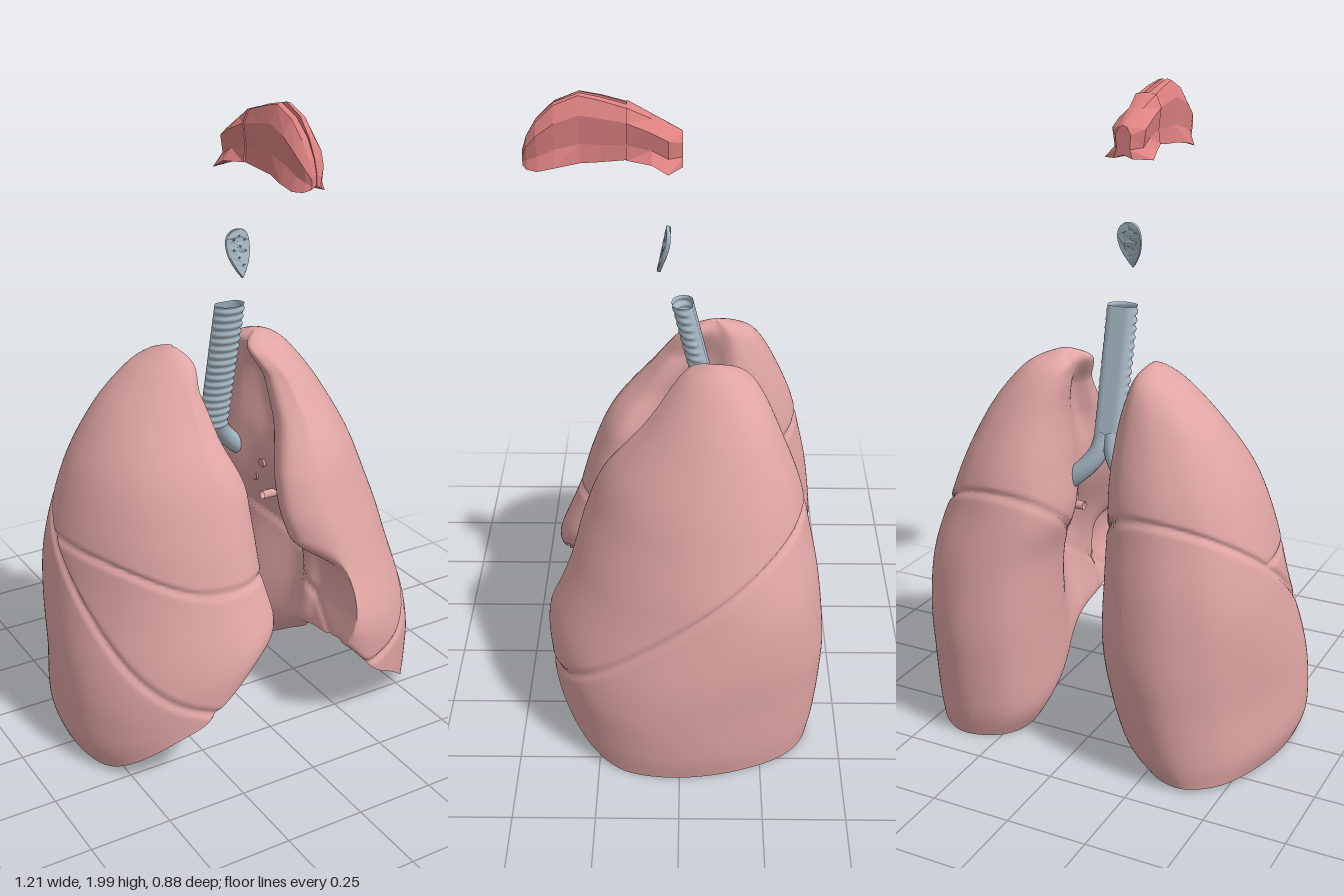
import * as THREE from 'three';

const mat = (name, color) => {
  const m = new THREE.MeshStandardMaterial({ color, side: THREE.DoubleSide });
  m.name = name;
  return m;
};
const V = (x, y, z) => new THREE.Vector3(x, y, z);
const { smoothstep, lerp } = THREE.MathUtils;

// Skin a list of closed rings, listed from bottom to top
function loft(rings, flip = false) {
  const n = rings[0].length, pos = [], idx = [];
  rings.forEach(r => r.forEach(p => pos.push(p.x, p.y, p.z)));
  for (let i = 0; i < rings.length - 1; i++) for (let j = 0; j < n; j++) {
    const a = i * n + j, b = i * n + (j + 1) % n, c = a + n, d = b + n;
    if (flip) idx.push(a, b, c, b, d, c);
    else idx.push(a, c, b, b, c, d);
  }
  const g = new THREE.BufferGeometry();
  g.setAttribute('position', new THREE.Float32BufferAttribute(pos, 3));
  g.setIndex(idx);
  g.computeVertexNormals();
  return g;
}

// Smooth interpolation between rows of a key table
function sampleRow(keys, s) {
  const i = Math.min(Math.floor(s), keys.length - 2), t = s - i;
  const k = j => keys[Math.max(0, Math.min(keys.length - 1, j))];
  return keys[i].map((_, c) => {
    const [a, b, d, e] = [k(i - 1)[c], k(i)[c], k(i + 1)[c], k(i + 2)[c]];
    return b + 0.5 * t * (d - a + t * (2 * a - 5 * b + 4 * d - e + t * (3 * (b - d) + e - a)));
  });
}

// Plan outline: u runs medial to lateral, v runs back to front
const makeOutline = back => new THREE.CatmullRomCurve3([
  [0.1 + back * 0.4, -0.7], [0.27, -0.92], [0.52, -1], [0.75, -0.85], [0.93, -0.45], [1, 0.02], [0.95, 0.4], [0.78, 0.72],
  [0.52, 0.93], [0.25, 1], [0.05, 0.86], [0.02, 0.6], [0.13, 0.3], [0.14, 0], [back, -0.4],
].map(([u, v]) => V(u, 0, v)), true).getSpacedPoints(150).slice(0, -1);

// Rows: height, medial x, lateral x, back z, front z
const leftKeys = [
  [0.01, 0.14, 0.585, -0.40, 0.40], [0.1, 0.095, 0.60, -0.42, 0.41], [0.25, 0.085, 0.605, -0.435, 0.415],
  [0.4, 0.08, 0.595, -0.44, 0.395], [0.6, 0.07, 0.555, -0.42, 0.335], [0.75, 0.035, 0.505, -0.39, 0.29],
  [0.9, 0.055, 0.445, -0.355, 0.225], [1.05, 0.08, 0.365, -0.295, 0.105], [1.15, 0.082, 0.29, -0.245, 0.03],
  [1.2, 0.09, 0.235, -0.2, -0.02], [1.228, 0.135, 0.17, -0.13, -0.08],
];
const rightKeys = [
  [0.02, 0.17, 0.58, -0.40, 0.40], [0.1, 0.09, 0.605, -0.42, 0.41], [0.25, 0.04, 0.602, -0.435, 0.415],
  [0.4, 0.02, 0.59, -0.44, 0.395], [0.6, 0.03, 0.56, -0.42, 0.335], [0.75, 0.035, 0.525, -0.39, 0.29],
  [0.9, 0.04, 0.47, -0.355, 0.225], [1.05, 0.065, 0.378, -0.295, 0.105], [1.15, 0.095, 0.28, -0.245, 0.03],
  [1.195, 0.115, 0.215, -0.2, -0.02], [1.222, 0.14, 0.165, -0.13, -0.08],
];

function makeLung(side, keys, material) {
  const name = side > 0 ? 'leftLung' : 'rightLung';
  const group = new THREE.Group();
  group.name = name;
  const outline = makeOutline(side > 0 ? 0.1 : 0.04);
  const rows = 16 * (keys.length - 1), rings = [];
  const groove = d => Math.exp(-((d / 0.009) ** 2));
  for (let r = 0; r <= rows; r++) {
    const [y0, xi, xo, zb, zf] = sampleRow(keys, r / 16);
    const cx = (xi + xo) / 2, cz = (zb + zf) / 2;
    rings.push(outline.map(p => {
      let x = lerp(xi, xo, p.x), z = lerp(zb, zf, (p.z + 1) / 2);
      // Lower rim rises toward the front and along the medial side
      const rise = Math.max(0, (z - 0.15) / 0.25);
      const medial = (1 - smoothstep(p.x, 0.02, 0.48)) * smoothstep(z, -0.32, 0.2);
      const y = y0 + Math.hypot(0.2 * rise * rise, 0.31 * medial) * Math.max(0, 1 - y0 / 0.6) ** 1.3;
      // Widest part sits further back in the upper half
      z -= 0.25 * p.x * Math.max(0, 1 - p.z * p.z) * (zf - zb) / 2 * smoothstep(y, 0.2, 0.6);
      // Hollow around the root of the lung and the heart
      const inner = 1 - smoothstep(p.x, 0.1, 0.45);
      x += 0.1 * inner * Math.exp(-(((z - 0.05) / 0.13) ** 2) - ((y - 0.58) / 0.27) ** 2);
      // Front margin of the apex stands further out
      x += 0.035 * inner * smoothstep(p.z, -0.2, 0.4) * smoothstep(y, 0.83, 1) * (1 - smoothstep(y, 1.1, 1.2));
      // Cardiac notch of the left lung
      if (side > 0) {
        const w = smoothstep(z, 0.1, 0.2) * (1 - smoothstep(y, 0.54, 0.66));
        x = lerp(x, Math.max(x, 0.2 + 0.02 * Math.sin((y - 0.38) * 15)), w);
      }
      // Fissures between the lobes
      const oblique = y - (0.25 + (0.4 - z) * 0.75);
      let cut = groove(oblique * 0.8);
      if (side < 0 && oblique > 0) cut = Math.max(cut, groove(y - 0.595 - 0.075 * smoothstep(x, 0.25, 0.56)));
      const len = Math.hypot(x - cx, z - cz) || 1, k = 1 - Math.min(0.3, 0.011 * cut / len);
      return V(side * (cx + (x - cx) * k), y, cz + (z - cz) * k);
    }));
  }
  const centre = ring => ring.reduce((a, p) => a.add(p), V(0, 0, 0)).divideScalar(ring.length);
  const tip = centre(rings[rows]);
  tip.y += 0.003;
  const body = new THREE.Mesh(loft([...rings, rings[0].map(() => tip)], side < 0), material);
  body.name = name + 'Lobes';

  // Hollow underside resting on the diaphragm
  const rim = rings[0], c = centre(rim), dome = [];
  for (let i = 0; i <= 16; i++) {
    const s = i / 16;
    dome.push(rim.map(p => V(lerp(c.x, p.x, s), lerp(0.31, p.y, s ** 2.4), lerp(c.z, p.z, s))));
  }
  const under = new THREE.Mesh(loft(dome, side < 0), material);
  under.name = name + 'Underside';
  group.add(body, under);
  return group;
}

// Windpipe with ridges on the front and a flat back
function makeTrachea(material) {
  const rings = [], rows = 136;
  for (let i = 0; i <= rows; i++) {
    const t = i / rows, y = lerp(0.93, 1.36, t), zc = lerp(-0.11, -0.007, t), ring = [];
    for (let j = 0; j < 28; j++) {
      const a = j / 28 * Math.PI * 2, front = smoothstep(Math.sin(a), -0.5, 0);
      const r = 0.048 + 0.003 * front * Math.sin(t * 17 * Math.PI * 2);
      ring.push(V(Math.cos(a) * r, y, zc + Math.max(Math.sin(a), -0.75) * r * 0.75));
    }
    rings.push(ring);
  }
  const m = new THREE.Mesh(loft(rings, true), material);
  m.name = 'trachea';
  return m;
}

// Leaf-shaped flap with small pits
function makeEpiglottis(material) {
  const s = new THREE.Shape();
  s.moveTo(0, -0.075);
  s.bezierCurveTo(0.015, -0.055, 0.037, -0.02, 0.037, 0.02);
  s.bezierCurveTo(0.037, 0.055, 0.02, 0.065, 0, 0.065);
  s.bezierCurveTo(-0.02, 0.065, -0.037, 0.055, -0.037, 0.02);
  s.bezierCurveTo(-0.037, -0.02, -0.015, -0.055, 0, -0.075);
  for (const [x, y] of [[0, 0.045], [-0.018, 0.035], [0.018, 0.032], [0, 0.015], [-0.02, 0.005], [0.02, 0], [-0.005, -0.018], [0.007, -0.04]])
    s.holes.push(new THREE.Path().absarc(x, y, 0.0035, 0, Math.PI * 2, true));
  const g = new THREE.ExtrudeGeometry(s, { depth: 0.006, bevelSize: 0.002, bevelThickness: 0.003, bevelSegments: 2, curveSegments: 10 });
  const p = g.attributes.position;
  for (let i = 0; i < p.count; i++) p.setZ(i, p.getZ(i) - 6 * p.getX(i) ** 2);
  g.computeVertexNormals();
  const m = new THREE.Mesh(g, material);
  m.name = 'epiglottis';
  m.position.set(0, 1.535, 0.048);
  m.rotation.x = -0.2;
  return m;
}

// One half of the nasal passage; rows: z, bottom, top, inner x, top x, middle x, base x
const noseFront = [
  [0.15, 1.82, 1.968, 0.008, 0.03, 0.046, 0.042], [0.22, 1.813, 1.988, 0.008, 0.027, 0.044, 0.04],
  [0.28, 1.81, 2.0, 0.008, 0.022, 0.043, 0.042], [0.35, 1.8, 1.972, 0.006, 0.022, 0.046, 0.056],
  [0.4, 1.787, 1.925, 0.002, 0.02, 0.042, 0.05], [0.43, 1.788, 1.875, 0.001, 0.015, 0.03, 0.035], [0.443, 1.795, 1.835, 0.001, 0.01, 0.016, 0.018],
];
const noseBack = [
  [-0.005, 1.795, 1.89, 0, 0.012, 0.025, 0.03], [0.035, 1.79, 1.912, 0, 0.016, 0.055, 0.08],
  [0.08, 1.815, 1.935, 0, 0.022, 0.055, 0.072], [0.15, 1.82, 1.97, 0, 0.034, 0.05, 0.048],
];
function makeNose(keys, side, name, material) {
  const rings = keys.map(([z, b, t, i, xt, xm, xb]) => [
    [i, b + 0.01], [xb, b], [xm * 0.85, lerp(b, t, 0.28)], [xm, lerp(b, t, 0.72)], [xt, t - 0.004], [i, t],
  ].map(([x, y]) => V(side * x, y, z)));
  const mid = r => r.map(() => r.reduce((a, p) => a.add(p), V(0, 0, 0)).divideScalar(r.length));
  const g = loft([mid(rings[0]), ...rings, mid(rings[rings.length - 1])], side > 0).toNonIndexed();
  g.computeVertexNormals();
  const m = new THREE.Mesh(g, material);
  m.name = name;
  return m;
}

export function createModel() {
  const model = new THREE.Group();
  model.name = 'respiratorySystem';
  const lung = mat('lung pink', 0xdfa5a4);
  const cartilage = mat('cartilage grey blue', 0xa6b8c4);
  const nasal = mat('nasal red', 0xdd8281);

  model.add(makeLung(1, leftKeys, lung), makeLung(-1, rightKeys, lung));
  model.add(makeTrachea(cartilage), makeEpiglottis(cartilage));

  for (const side of [1, -1]) {
    const label = side > 0 ? 'left' : 'right';
    // Main bronchus
    const path = new THREE.CatmullRomCurve3([V(side * 0.012, 0.98, -0.1), V(side * 0.03, 0.915, -0.12), V(side * 0.085, 0.85, -0.14), V(side * 0.18, 0.78, -0.145)]);
    const bronchus = new THREE.Mesh(new THREE.TubeGeometry(path, 24, 0.03, 16), cartilage);
    bronchus.name = label + 'Bronchus';
    model.add(bronchus);
    // Vessel stumps at the root of the lung
    [[0.8, -0.03], [0.74, -0.07], [0.69, -0.02]].forEach(([y, z]) => {
      const stump = new THREE.Mesh(new THREE.CylinderGeometry(0.014, 0.014, 0.05, 14, 1, true), lung);
      stump.rotation.z = Math.PI / 2;
      stump.position.set(side * 0.155, y, z);
      stump.name = label + 'VesselStump';
      model.add(stump);
    });
    model.add(makeNose(noseFront, side, label + 'NasalPassage', nasal));
    model.add(makeNose(noseBack, side, label + 'NasalThroat', nasal));
  }
  return model;
}
